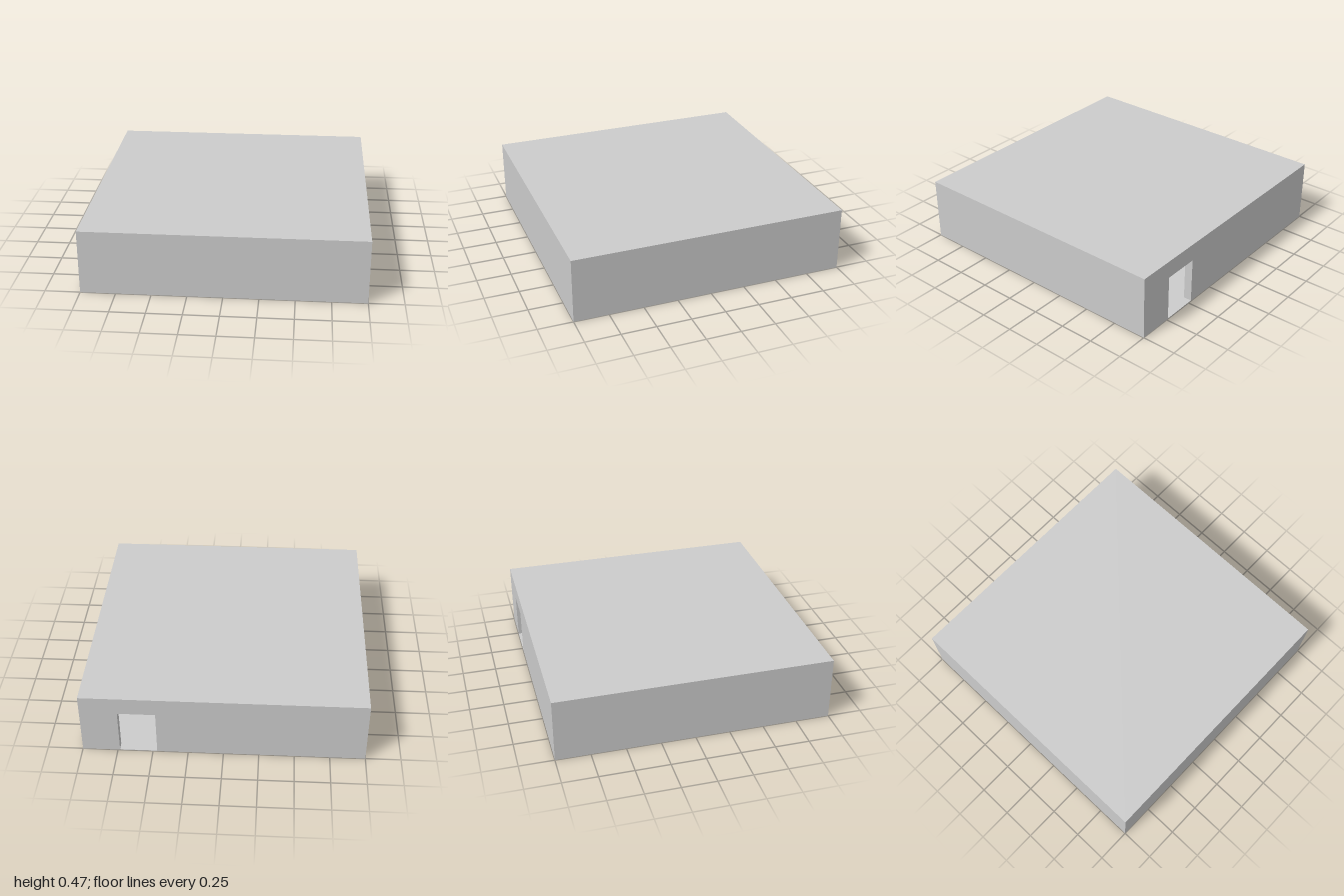
import * as THREE from 'three';

const H = 0.47;      // overall height
const T = 0.06;      // wall thickness
const SLAB = 0.004;  // floor and roof thickness
const DOOR = { x0: 0.47, x1: 0.735, top: 0.34 };

export function createModel() {
  const group = new THREE.Group();
  const material = new THREE.MeshStandardMaterial({ color: 0xcccccc, flatShading: true });

  const add = (name, geometry, x, y, z) => {
    const mesh = new THREE.Mesh(geometry, material);
    mesh.name = name;
    mesh.position.set(x, y, z);
    group.add(mesh);
  };
  const wallH = H - 2 * SLAB;
  const wall = (name, w, d, x, z) => add(name, new THREE.BoxGeometry(w, wallH, d), x, H / 2, z);

  // Thin floor and flat roof
  add('floor', new THREE.BoxGeometry(2, SLAB, 2), 0, SLAB / 2, 0);
  add('roof', new THREE.BoxGeometry(2, SLAB, 2), 0, H - SLAB / 2, 0);

  // Solid outer walls and the partition between the two rooms
  wall('frontWall', 2, T, 0, 1 - T / 2);
  for (const [name, s] of [['leftWall', 1], ['rightWall', -1]]) {
    wall(name, T, 2 - 2 * T, s * (1 - T / 2), 0);
  }
  wall('partitionWall', T, 2 - 2 * T, 0, 0);

  // Back wall with the doorway notched out of its lower edge
  const outline = new THREE.Shape([
    [-1, SLAB], [DOOR.x0, SLAB], [DOOR.x0, DOOR.top], [DOOR.x1, DOOR.top],
    [DOOR.x1, SLAB], [1, SLAB], [1, H - SLAB], [-1, H - SLAB],
  ].map(([x, y]) => new THREE.Vector2(x, y)));
  add('backWall', new THREE.ExtrudeGeometry(outline, { depth: T, bevelEnabled: false }), 0, 0, -1);

  return group;
}
